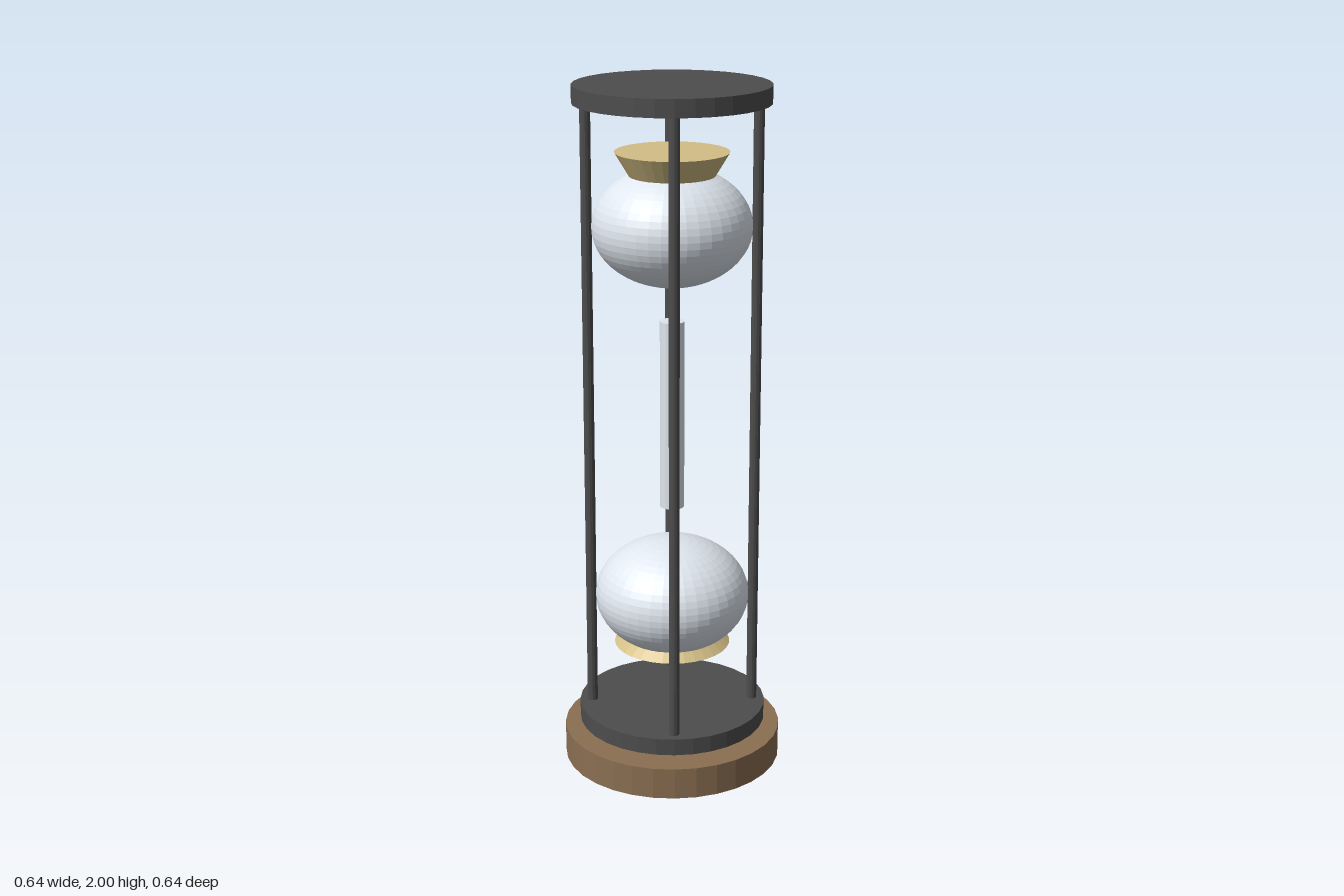
import * as THREE from 'three';

const mat = (color) => new THREE.MeshStandardMaterial({ color, flatShading: true });

export function createModel() {
  const model = new THREE.Group();
  const wood = mat(0x8b6f52);
  const metal = mat(0x4d4d4d);
  const glass = mat(0xdfe6ee);
  const sand = mat(0xd2be85);

  const add = (name, geometry, material, x, y, z) => {
    const mesh = new THREE.Mesh(geometry, material);
    mesh.name = name;
    mesh.position.set(x, y, z);
    model.add(mesh);
    return mesh;
  };

  // Upright solid of revolution between two heights
  const drum = (name, material, rBottom, rTop, y0, y1, sides = 32, x = 0, z = 0) =>
    add(name, new THREE.CylinderGeometry(rTop, rBottom, y1 - y0, sides), material, x, (y0 + y1) / 2, z);

  // Wooden foot and the two end plates
  drum('woodenBase', wood, 0.32, 0.32, 0, 0.093);
  drum('lowerPlate', metal, 0.275, 0.275, 0.115, 0.165);
  drum('upperPlate', metal, 0.275, 0.275, 1.95, 2);

  // Four rods joining the plates
  for (let i = 0; i < 4; i++) {
    const a = (i * Math.PI) / 2;
    drum('rod', metal, 0.015, 0.015, 0.165, 1.95, 12, 0.238 * Math.cos(a), 0.238 * Math.sin(a));
  }

  // Flattened glass bulbs and the free-standing neck tube
  for (const [name, y] of [['lowerBulb', 0.508], ['upperBulb', 1.607]]) {
    add(name, new THREE.SphereGeometry(0.225, 40, 28), glass, 0, y, 0).scale.y = 0.75;
  }
  drum('neck', glass, 0.035, 0.035, 0.78, 1.335, 20);

  // Sand: inverted cone above, heaped cone below, tips inside the bulbs
  drum('upperSand', sand, 0, 0.16, 1.55, 1.815);
  drum('lowerSand', sand, 0.17, 0, 0.355, 0.5);

  return model;
}
